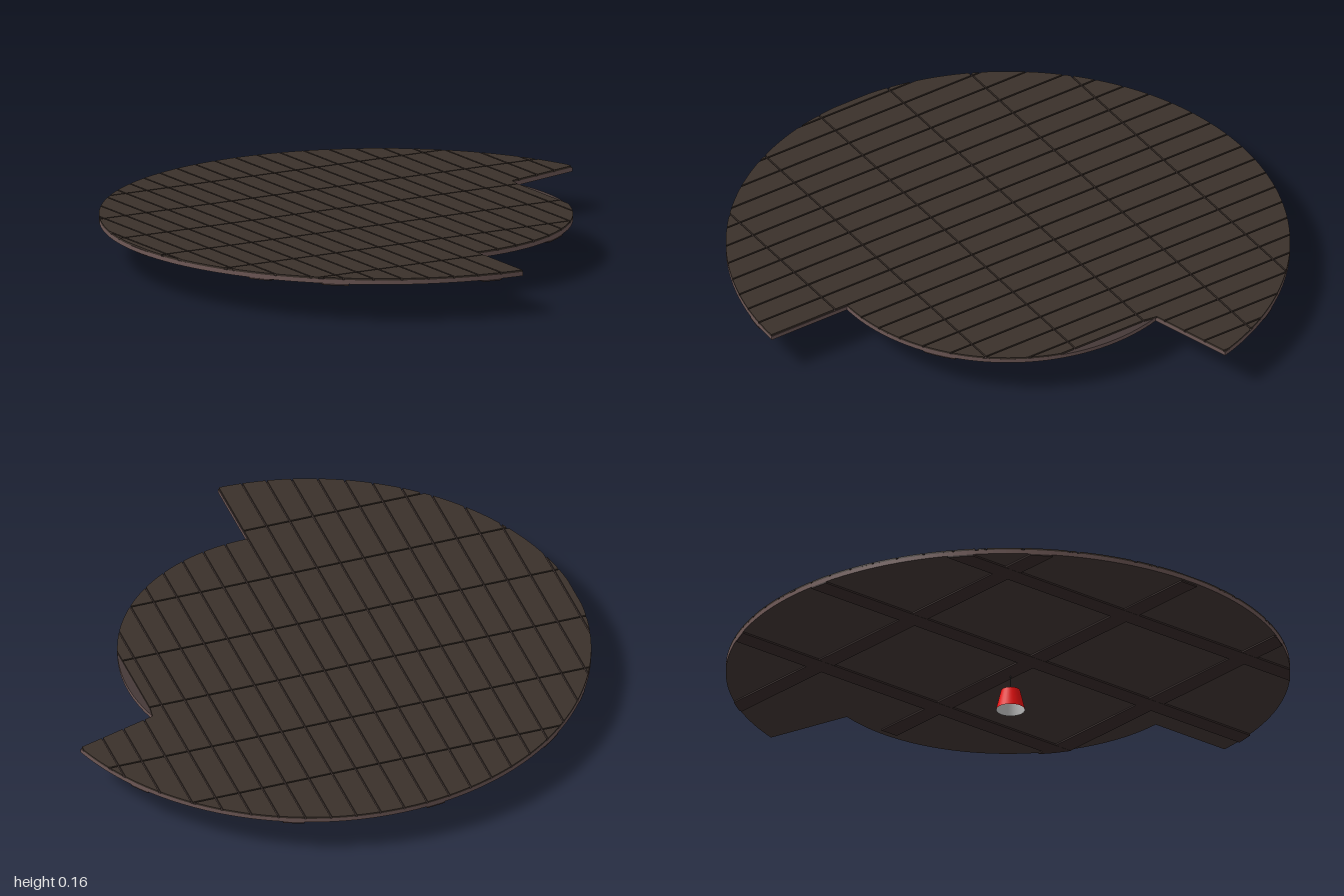
import * as THREE from 'three';

const R = 1, R_NOTCH = 0.68;      // outer radius and notch radius
const NOTCH_U = -0.008;           // straight notch edge running along the planks
const NOTCH_SLOPE = -0.3;         // other, radial notch edge

const mat = (color, side = THREE.FrontSide) =>
  new THREE.MeshStandardMaterial({ color, side, roughness: 0.9 });

// Floor outline limits in z for a given x
const zMin = x => -Math.sqrt(Math.max(0, R * R - x * x));
function zMax(x) {
  const outer = Math.sqrt(Math.max(0, R * R - x * x));
  if (x < NOTCH_U) return outer;
  const edgeX = R_NOTCH / Math.hypot(1, NOTCH_SLOPE);
  return x < edgeX ? Math.sqrt(R_NOTCH ** 2 - x * x) : Math.min(outer, NOTCH_SLOPE * x);
}

// Rectangle trimmed to the floor outline, or null when outside
function trimmedRect(x0, x1, z0, z1, steps) {
  const near = [], far = [];
  for (let i = 0; i <= steps; i++) {
    const x = x0 + (x1 - x0) * i / steps;
    const lo = Math.max(z0, zMin(x)), hi = Math.min(z1, zMax(x));
    if (hi - lo < 0.001) continue;
    near.push(new THREE.Vector2(x, lo));
    far.unshift(new THREE.Vector2(x, hi));
  }
  return near.length > 1 ? new THREE.Shape([...near, ...far]) : null;
}

// Extrude a floor plan downwards from height top to bottom
function slab(shape, top, bottom, material, name) {
  const geo = new THREE.ExtrudeGeometry(shape, {
    depth: top - bottom, bevelEnabled: false, curveSegments: 96,
  });
  geo.rotateX(Math.PI / 2);
  const mesh = new THREE.Mesh(geo, material);
  mesh.position.y = top;
  mesh.name = name;
  return mesh;
}

export function createModel() {
  const model = new THREE.Group();
  model.name = 'roundFloorWithLamp';

  const floor = new THREE.Group();
  floor.name = 'floor';
  floor.rotation.y = -0.0925;
  model.add(floor);

  // Base slab with the stepped cut-out
  const a0 = Math.PI / 2 + Math.asin(-NOTCH_U / R);
  const a1 = Math.atan(NOTCH_SLOPE);
  const outline = new THREE.Shape();
  outline.absarc(0, 0, R, a0, a1 + Math.PI * 2, false);
  outline.absarc(0, 0, R_NOTCH, a1, Math.PI / 2 + Math.asin(-NOTCH_U / R_NOTCH), false);
  floor.add(slab(outline, 0.153, 0.138, [mat(0x453937), mat(0x6e5856)], 'floorBase'));

  // Planks in rows with narrow gaps
  const planks = new THREE.Group();
  planks.name = 'planks';
  const plankMat = mat(0x3b312b);
  const width = 0.0875, length = 0.291, gap = 0.003;
  for (let i = -12; i < 12; i++) {
    for (let j = -4; j < 4; j++) {
      const x = NOTCH_U + i * width, z = 0.147 + j * length;
      const shape = trimmedRect(Math.max(-R, x + gap), Math.min(R, x + width - gap),
        z + gap, z + length - gap, 10);
      if (shape) planks.add(slab(shape, 0.16, 0.153, plankMat, 'plank'));
    }
  }
  floor.add(planks);

  // Crossing beams underneath
  const beams = new THREE.Group();
  beams.name = 'beams';
  const beamMat = mat(0x3a2d2c), half = 0.035;
  for (const x of [-0.64, -0.13, 0.38])
    beams.add(slab(trimmedRect(x - half, x + half, -R, R, 8), 0.138, 0.132, beamMat, 'lengthBeam'));
  for (const z of [-0.55, 0, 0.55])
    beams.add(slab(trimmedRect(-R, R, z - half, z + half, 200), 0.138, 0.1325, beamMat, 'crossBeam'));
  floor.add(beams);

  // Hanging lamp
  const lamp = new THREE.Group();
  lamp.name = 'lamp';
  lamp.position.set(0.005, 0, 0.018);
  const add = (name, geo, material, y) => {
    const mesh = new THREE.Mesh(geo, material);
    mesh.name = name;
    mesh.position.y = y;
    lamp.add(mesh);
  };
  const red = mat(0xee1111);
  add('shade', new THREE.CylinderGeometry(0.034, 0.052, 0.075, 32, 1, true), red, 0.0375);
  add('shadeInside', new THREE.CylinderGeometry(0.033, 0.051, 0.074, 32, 1, true),
    mat(0xcccccc, THREE.BackSide), 0.037);
  add('shadeTop', new THREE.CircleGeometry(0.034, 32).rotateX(-Math.PI / 2), red, 0.075);
  add('shadeCeiling', new THREE.CircleGeometry(0.033, 32).rotateX(Math.PI / 2), mat(0xcccccc), 0.074);
  add('cable', new THREE.CylinderGeometry(0.002, 0.002, 0.065, 8), mat(0x444444), 0.1075);
  model.add(lamp);

  return model;
}
